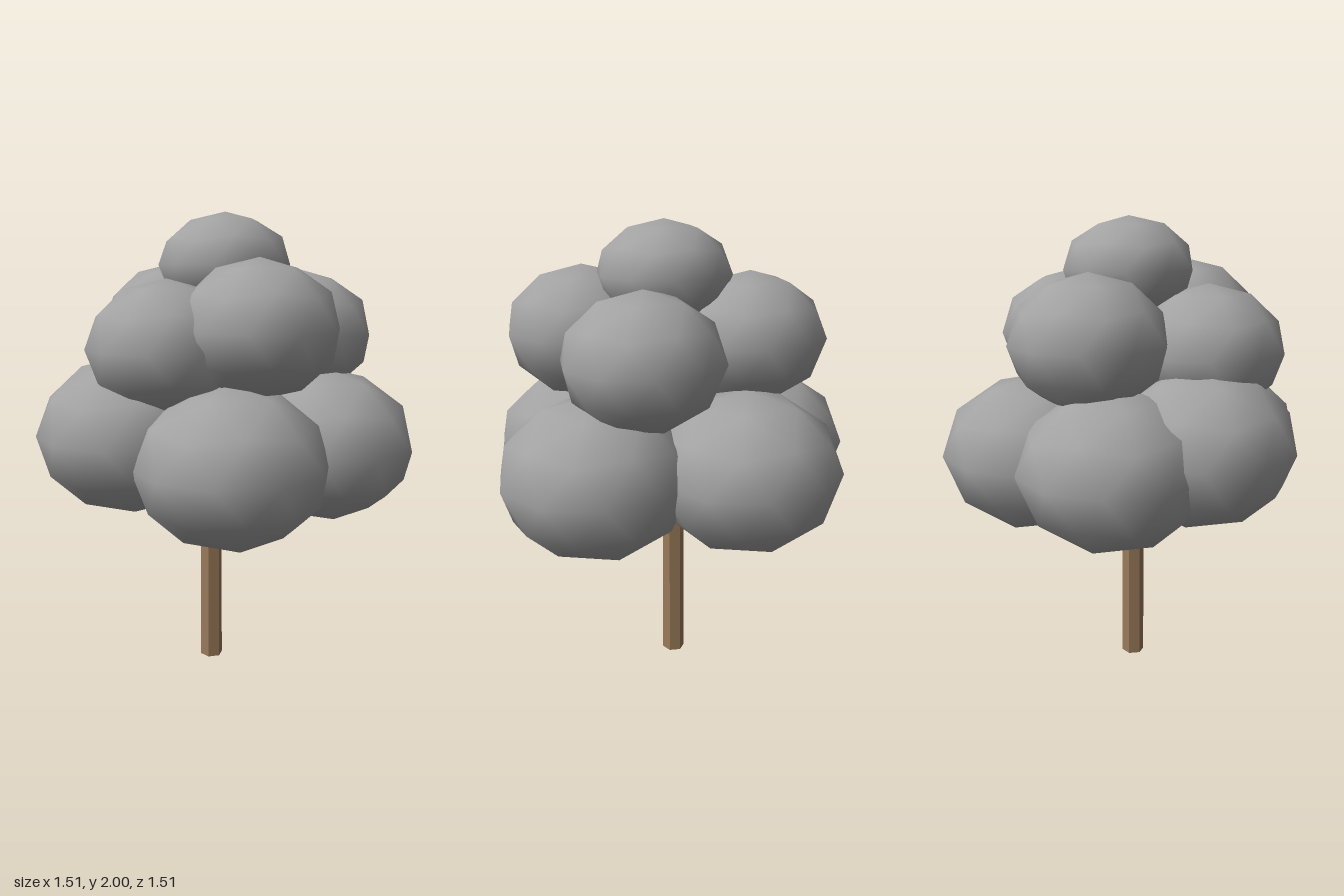
import * as THREE from 'three';

const foliage = new THREE.MeshStandardMaterial({ color: 0xa3a3a3 });
foliage.name = 'foliageGrey';
const bark = new THREE.MeshStandardMaterial({ color: 0x997a5a, flatShading: true });
bark.name = 'barkBrown';

// Smooth low-poly ball with a vertex at its top
function clumpGeometry() {
  const ball = new THREE.IcosahedronGeometry(1, 1);
  ball.rotateZ(-Math.atan(2 / (1 + Math.sqrt(5))));
  return ball;
}

// Tapered six-sided limb between two points
function limb(name, from, to, rFrom, rTo) {
  const a = new THREE.Vector3(...from);
  const b = new THREE.Vector3(...to);
  const dir = b.clone().sub(a);
  const geometry = new THREE.CylinderGeometry(rTo, rFrom, dir.length(), 6);
  geometry.rotateY(Math.PI / 2);
  const mesh = new THREE.Mesh(geometry, bark);
  mesh.name = name;
  mesh.position.copy(a).add(b).multiplyScalar(0.5);
  mesh.quaternion.setFromUnitVectors(new THREE.Vector3(0, 1, 0), dir.normalize());
  return mesh;
}

export function createModel() {
  const tree = new THREE.Group();
  tree.name = 'tree';

  // Trunk and the three branches that fork into the crown
  tree.add(limb('trunk', [0, 0, 0], [0, 0.66, 0], 0.05, 0.048));
  const branches = [
    ['frontBranch', [-0.01, 0.61, 0.01], [-0.015, 0.95, 0.3]],
    ['rightBranch', [-0.02, 0.61, -0.015], [-0.21, 0.98, -0.12]],
    ['leftBranch', [0.02, 0.61, -0.015], [0.23, 0.97, -0.12]],
  ];
  for (const [name, from, to] of branches) tree.add(limb(name, from, to, 0.022, 0.018));

  // Leaf clumps: name, centre x y z, radius, half height
  const clumps = [
    ['lowerLeftFrontClump', 0.365, 0.995, 0.247, 0.4, 0.335],
    ['lowerFrontClump', -0.128, 1.075, 0.355, 0.398, 0.335],
    ['lowerRightClump', -0.377, 1.015, 0.055, 0.4, 0.335],
    ['lowerRightBackClump', -0.237, 1.015, -0.36, 0.4, 0.335],
    ['lowerLeftBackClump', 0.373, 1.01, -0.317, 0.4, 0.335],
    ['middleFrontClump', 0.063, 1.447, 0.316, 0.33, 0.28],
    ['middleLeftClump', 0.376, 1.53, 0.106, 0.33, 0.28],
    ['middleBackClump', 0.182, 1.482, -0.364, 0.33, 0.28],
    ['middleRightClump', -0.313, 1.51, -0.07, 0.33, 0.28],
    ['topClump', 0.045, 1.78, -0.037, 0.285, 0.22],
  ];
  const geometry = clumpGeometry();
  for (const [name, x, y, z, r, h] of clumps) {
    const mesh = new THREE.Mesh(geometry, foliage);
    mesh.name = name;
    mesh.position.set(x, y, z);
    mesh.scale.set(r, h, r);
    tree.add(mesh);
  }
  return tree;
}
